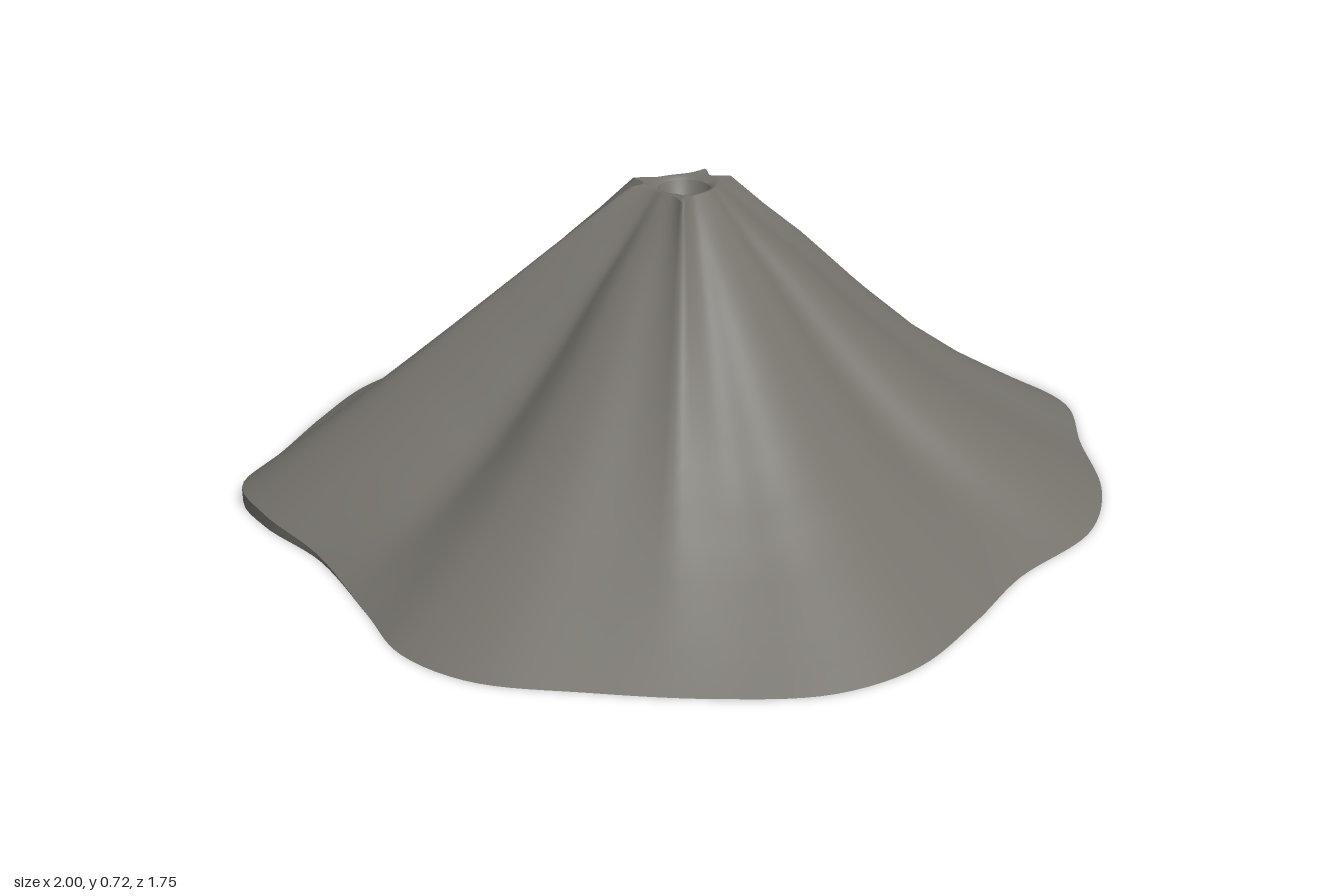
import * as THREE from 'three';

const N = 180;                 // steps around the mountain
const CX = -0.01, CZ = -0.07;  // summit position
const TOP = 0.71;

// Foot outline as x, z pairs
const FOOT = [
  [1, -0.25], [0.95, -0.04], [0.9, 0.2], [0.79, 0.385], [0.57, 0.535], [0.42, 0.68], [0.245, 0.82],
  [0.06, 0.87], [-0.155, 0.835], [-0.385, 0.76], [-0.6, 0.67], [-0.72, 0.54], [-0.77, 0.375],
  [-0.85, 0.13], [-0.957, -0.05], [-1, -0.19], [-0.92, -0.35], [-0.8, -0.59], [-0.66, -0.775],
  [-0.45, -0.87], [-0.155, -0.87], [0.14, -0.877], [0.35, -0.84], [0.57, -0.685], [0.81, -0.545], [0.94, -0.41],
];

// Slope profile: fraction of the way down, height share
const PROFILE = [[0, 1], [0.1, 0.88], [0.2, 0.77], [0.38, 0.55], [0.55, 0.365], [0.7, 0.23], [0.9, 0.075], [1, 0]];

// Ridges radiating from the rim, and gullies between them (angle, size, width)
const RIDGES = [-0.29, -0.93, -2.52, -3.08, 1.82];
const GULLIES = [[0.67, 0.035, 0.16], [2.75, 0.035, 0.14], [-0.7, 0.02, 0.12], [1.6, 0.02, 0.12]];
const LEFT_RIDGE = -3.05;

const angleGap = (a, b) => Math.abs(Math.atan2(Math.sin(a - b), Math.cos(a - b)));
const peak = (a, at, width) => Math.exp(-angleGap(a, at) / width);
const bell = (a, at, width) => Math.exp(-((angleGap(a, at) / width) ** 2));
const ridgeSum = (a, width) => RIDGES.reduce((s, r) => s + peak(a, r, width), 0);

function profileAt(t) {
  let i = 1;
  while (i < PROFILE.length - 1 && t > PROFILE[i][0]) i++;
  const [t0, h0] = PROFILE[i - 1], [t1, h1] = PROFILE[i];
  return THREE.MathUtils.lerp(h0, h1, (t - t0) / (t1 - t0));
}

function slopeHeight(a, t) {
  const straight = 1 - 0.95 * t;
  let y = TOP * THREE.MathUtils.lerp(profileAt(t), straight, bell(a, LEFT_RIDGE, 0.3));
  const mid = Math.sin(Math.PI * t);
  y += 0.022 * mid * (1 - t) * ridgeSum(a, 0.12) - 0.006 * mid;
  for (const [at, size, width] of GULLIES) y -= size * mid * bell(a, at, width);
  return Math.max(y, 0);
}

// Skin over closed rings listed from the inside out, facing up and outward
function skin(rings) {
  const pos = rings.flat(2), index = [];
  for (let j = 0; j < rings.length - 1; j++) {
    for (let i = 0; i < N; i++) {
      const k = (i + 1) % N;
      const d = j * N + i, c = j * N + k, a = d + N, b = c + N;
      index.push(a, d, b, b, d, c);
    }
  }
  const g = new THREE.BufferGeometry();
  g.setAttribute('position', new THREE.Float32BufferAttribute(pos, 3));
  g.setIndex(index);
  g.computeVertexNormals();
  return g;
}

export function createModel() {
  const group = new THREE.Group();
  const rock = new THREE.MeshStandardMaterial({ color: 0x75726c });
  const add = (name, geometry) => {
    const mesh = new THREE.Mesh(geometry, rock);
    mesh.name = name;
    group.add(mesh);
  };

  // Spokes from the summit to the foot outline
  const curve = new THREE.CatmullRomCurve3(FOOT.map(([x, z]) => new THREE.Vector3(x, 0, z)), true);
  const spokes = curve.getSpacedPoints(N).slice(0, N).map((p) => {
    const angle = Math.atan2(p.z - CZ, p.x - CX);
    return {
      angle,
      foot: Math.hypot(p.x - CX, p.z - CZ),
      rim: 0.07 + 0.05 * Math.min(1, ridgeSum(angle, 0.17)),
    };
  });
  const ring = (radius, height) => spokes.map((s) => {
    const r = radius(s);
    return [CX + r * Math.cos(s.angle), height(s), CZ + r * Math.sin(s.angle)];
  });

  // Mountain slopes, ending in a low vertical edge at the foot
  const rows = 20, slopes = [];
  for (let j = 0; j <= rows; j++) {
    const t = j / rows;
    slopes.push(ring((s) => THREE.MathUtils.lerp(s.rim, s.foot, t), (s) => slopeHeight(s.angle, t)));
  }
  add('mountainSlopes', skin(slopes));
  add('footEdge', skin([slopes[rows], ring((s) => s.foot, () => 0)]));

  // Star-shaped rim around the crater mouth
  const mouth = () => 0.057;
  add('craterRim', skin([
    ring(mouth, () => TOP - 0.008),
    ring((s) => (mouth() + s.rim) / 2, (s) => TOP + 0.006 * Math.min(1, ridgeSum(s.angle, 0.17))),
    ring((s) => s.rim, (s) => slopeHeight(s.angle, 0)),
  ]));

  // Crater bowl
  add('craterBowl', skin([
    ring(() => 0, () => TOP - 0.055),
    ring(() => 0.02, () => TOP - 0.053),
    ring(() => 0.04, () => TOP - 0.045),
    ring(mouth, () => TOP - 0.008),
  ]));

  // Flat underside
  const outline = new THREE.Shape(ring((s) => s.foot, () => 0).map(([x, , z]) => new THREE.Vector2(x, z)));
  add('underside', new THREE.ShapeGeometry(outline).rotateX(Math.PI / 2));

  return group;
}
